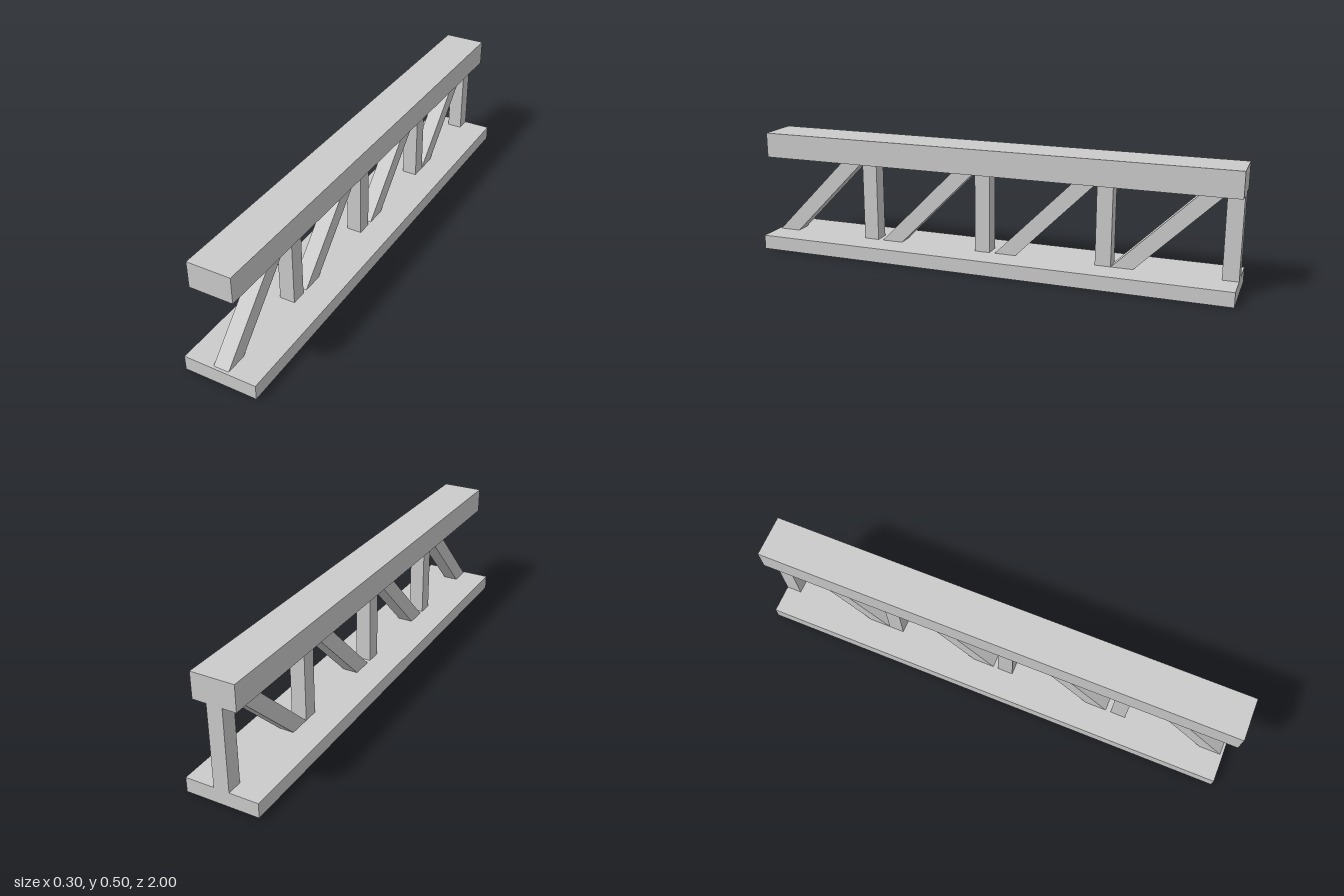
import * as THREE from 'three';

export function createModel() {
  const group = new THREE.Group();
  group.name = 'trussBeam';
  const material = new THREE.MeshStandardMaterial({ color: 0xcccccc, flatShading: true });

  const add = (name, geometry) => {
    const mesh = new THREE.Mesh(geometry, material);
    mesh.name = name;
    group.add(mesh);
    return mesh;
  };

  const webWidth = 0.063;
  const bottomY = 0.06; // top face of the lower chord
  const topY = 0.395; // underside of the upper chord

  // Upper and lower chords
  add('lowerChord', new THREE.BoxGeometry(0.298, bottomY, 2)).position.y = bottomY / 2;
  add('upperChord', new THREE.BoxGeometry(0.174, 0.5 - topY, 2)).position.y = (topY + 0.5) / 2;

  // Upright posts, each at the back end of its bay
  const height = topY - bottomY;
  for (const z of [0.54, 0.032, -0.475, -0.968]) {
    add('post', new THREE.BoxGeometry(webWidth, height, 0.064))
      .position.set(0, bottomY + height / 2, z);
  }

  // Diagonal braces: a slanted outline in the z-y plane, extruded across x.
  // Each entry gives the z of the front corner at the bottom and the back corner at the top.
  const thickness = 0.09;
  for (const [zFoot, zHead] of [[0.989, 0.572], [0.487, 0.064], [-0.022, -0.444], [-0.507, -0.936]]) {
    const shape = new THREE.Shape([
      new THREE.Vector2(zFoot - thickness, bottomY),
      new THREE.Vector2(zFoot, bottomY),
      new THREE.Vector2(zHead + thickness, topY),
      new THREE.Vector2(zHead, topY),
    ]);
    const geometry = new THREE.ExtrudeGeometry(shape, { depth: webWidth, bevelEnabled: false });
    geometry.translate(0, 0, -webWidth / 2).rotateY(-Math.PI / 2);
    add('diagonalBrace', geometry);
  }

  return group;
}
